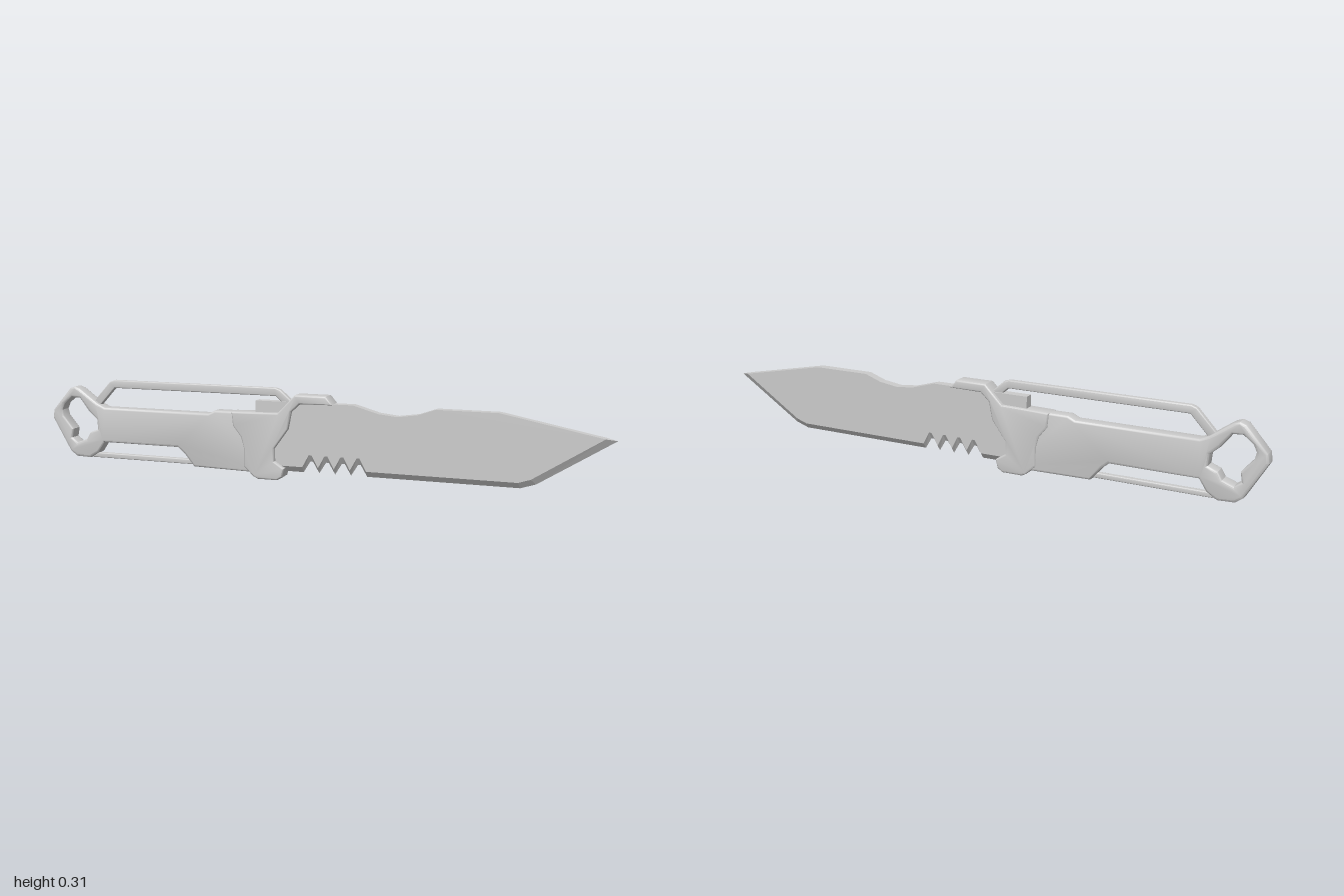
import * as THREE from 'three';
import { toCreasedNormals } from 'three/addons/utils/BufferGeometryUtils.js';

const material = new THREE.MeshStandardMaterial({ color: 0xcccccc });
const vec = (pts) => pts.map(([x, y]) => new THREE.Vector2(x, y));

// Plate of the given outline, centred on z = 0, with rounded rims kept inside the outline
function plate(name, outline, halfZ, bevel, hole) {
  const shape = new THREE.Shape(vec(outline));
  if (hole) shape.holes.push(new THREE.Path(vec(hole)));
  const geo = new THREE.ExtrudeGeometry(shape, {
    depth: 2 * (halfZ - bevel), bevelEnabled: true, bevelThickness: bevel,
    bevelSize: bevel, bevelOffset: -bevel, bevelSegments: 3,
  });
  geo.translate(0, 0, bevel - halfZ);
  const mesh = new THREE.Mesh(toCreasedNormals(geo, 0.6), material);
  mesh.name = name;
  return mesh;
}

// Flat-sided blade: two parallel faces, a square spine and a ground edge meeting at z = 0
function makeBlade() {
  const t = 0.016;
  const spine = [[0.965, 0.206], [0.635, 0.27], [0.43, 0.27], [0.37, 0.249], [0.3, 0.239],
    [0.235, 0.246], [0.15, 0.27], [-0.2, 0.27], [-0.2, 0.05]];
  // Matching points of the grind line on the face and of the cutting edge
  const grind = [[-0.2, 0.05], [-0.03, 0.05]];
  const edge = [[-0.2, 0.03], [-0.03, 0.03]];
  for (let i = 0; i < 4; i++) {
    const x = -0.03 + i * 0.0565;
    grind.push([x + 0.024, 0.093], [x + 0.034, 0.093], [x + 0.0565, 0.05]);
    edge.push([x + 0.024, 0.068], [x + 0.034, 0.068], [x + 0.0565, 0.03]);
  }
  grind.push([0.7, 0.05], [0.74, 0.063], [0.965, 0.206]);
  edge.push([0.705, 0.03], [0.755, 0.046], [1, 0.2]);

  const pos = [];
  const tri = (a, b, c) => pos.push(...a, ...b, ...c);
  const quad = (a, b, c, d) => { tri(a, b, c); tri(a, c, d); };
  const at = ([x, y], z) => [x, y, z];

  // Both faces
  const outline = [...grind, ...spine.slice(1, -1)];
  for (const [a, b, c] of THREE.ShapeUtils.triangulateShape(vec(outline), [])) {
    tri(at(outline[a], t), at(outline[b], t), at(outline[c], t));
    tri(at(outline[c], -t), at(outline[b], -t), at(outline[a], -t));
  }
  // Spine and butt
  for (let i = 0; i < spine.length - 1; i++) {
    const p = spine[i], q = spine[i + 1];
    quad(at(p, t), at(p, -t), at(q, -t), at(q, t));
  }
  // Ground bevels, including the serrations
  for (let i = 0; i < grind.length - 1; i++) {
    const e0 = at(edge[i], 0), e1 = at(edge[i + 1], 0);
    quad(e0, e1, at(grind[i + 1], t), at(grind[i], t));
    quad(e1, e0, at(grind[i], -t), at(grind[i + 1], -t));
  }
  // Point
  tri(at(spine[0], t), [1, 0.2, 0], at(spine[0], -t));

  const geo = new THREE.BufferGeometry();
  geo.setAttribute('position', new THREE.Float32BufferAttribute(pos, 3));
  geo.computeVertexNormals();
  const mesh = new THREE.Mesh(geo, material);
  mesh.name = 'blade';
  return mesh;
}

export function createModel() {
  const group = new THREE.Group();
  group.name = 'knife';

  // Handle with the lanyard ring at its end and a cut-out along the belly
  const handle = [[-1, 0.17], [-0.93, 0.05], [-0.905, 0.032], [-0.85, 0.03], [-0.815, 0.052],
    [-0.79, 0.09], [-0.495, 0.09], [-0.47, 0.07], [-0.432, 0.025], [-0.14, 0.02],
    [-0.14, 0.228], [-0.35, 0.228], [-0.375, 0.216], [-0.785, 0.216], [-0.815, 0.23],
    [-0.885, 0.28], [-0.905, 0.287], [-0.925, 0.28], [-0.995, 0.2]];
  const ringHole = [[-0.96, 0.2], [-0.95, 0.222], [-0.918, 0.248], [-0.885, 0.246], [-0.85, 0.2],
    [-0.818, 0.172], [-0.815, 0.135], [-0.848, 0.122], [-0.862, 0.097], [-0.9, 0.084],
    [-0.922, 0.1], [-0.916, 0.132], [-0.955, 0.178]];
  group.add(plate('handle', handle, 0.025, 0.008, ringHole));

  // Guard wrapping the handle, with a thumb rest over the spine
  const guard = [[-0.285, 0.228], [-0.28, 0.18], [-0.25, 0.142], [-0.24, 0.105], [-0.24, 0.04],
    [-0.205, 0.008], [-0.19, 0], [-0.118, 0], [-0.1, 0.012], [-0.092, 0.042], [-0.128, 0.065],
    [-0.128, 0.11], [-0.078, 0.178], [-0.066, 0.238], [-0.035, 0.266], [0.082, 0.268],
    [0.058, 0.296], [-0.052, 0.296], [-0.115, 0.232]];
  group.add(plate('guard', guard, 0.03, 0.006));

  // Bent bar over the back of the handle
  const bar = [[-0.845, 0.225], [-0.768, 0.308], [-0.75, 0.315], [-0.13, 0.315], [-0.112, 0.309],
    [-0.055, 0.26], [-0.075, 0.24], [-0.128, 0.287], [-0.748, 0.287], [-0.815, 0.215]];
  group.add(plate('upperBar', bar, 0.01, 0.004));

  // Straight bar closing the belly cut-out
  const rail = [[-0.86, 0.03], [-0.42, 0.03], [-0.42, 0.048], [-0.86, 0.048]];
  group.add(plate('lowerBar', rail, 0.01, 0.004));

  group.add(makeBlade());
  return group;
}
